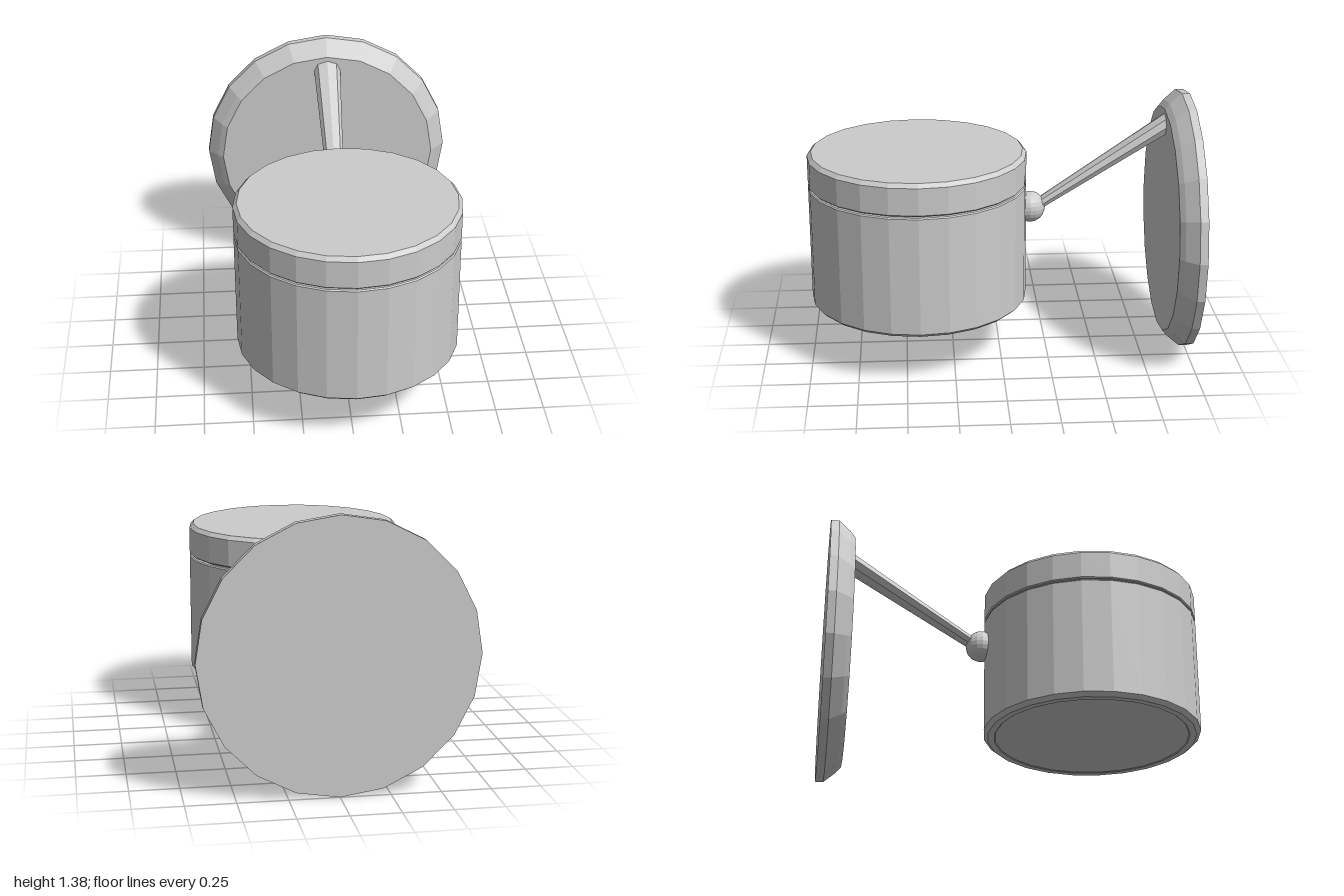
import * as THREE from 'three';

export function createModel() {
  const model = new THREE.Group();
  const grey = new THREE.MeshStandardMaterial({ color: 0xcccccc, flatShading: true });
  grey.name = 'light grey';

  const add = (name, geometry, x, y, z) => {
    const mesh = new THREE.Mesh(geometry, grey);
    mesh.name = name;
    mesh.position.set(x, y, z);
    model.add(mesh);
    return mesh;
  };
  // Turned solid from [radius, height] pairs, listed bottom to top
  const turned = (profile, sides) =>
    new THREE.LatheGeometry(profile.map(([r, h]) => new THREE.Vector2(r, h)), sides);

  // Round wall plate with a bevelled front rim
  const plate = add('wallPlate', turned([
    [0, 0], [0.6875, 0], [0.6875, 0.042], [0.635, 0.105], [0.605, 0.13], [0, 0.13],
  ], 20), 0, 0.6875, -1);
  plate.rotation.x = Math.PI / 2;

  // Lamp housing: body, recessed seam and cap
  const hx = 0.008, hz = 0.4275, R = 0.573;
  add('housingBody', turned([
    [0, 0.282], [0.51, 0.282], [0.515, 0.278], [0.55, 0.278], [R, 0.298],
    [R, 0.917], [0.567, 0.923], [0, 0.923],
  ], 24), hx, 0, hz);
  add('housingSeam', new THREE.CylinderGeometry(0.548, 0.548, 0.03, 24, 1, true), hx, 0.927, hz);
  add('housingCap', turned([
    [0, 0.931], [0.567, 0.931], [R, 0.937], [R, 1.078], [0.553, 1.099], [0, 1.099],
  ], 24), hx, 0, hz);

  // Ball joint behind the housing
  add('ballJoint', new THREE.SphereGeometry(0.082, 16, 12), 0.004, 0.77, -0.165);

  // Flattened arm that widens towards the wall plate
  const start = new THREE.Vector3(0, 0.768, -0.19);
  const end = new THREE.Vector3(0, 1.23, -0.9);
  const dir = end.clone().sub(start);
  const mid = start.clone().add(end).multiplyScalar(0.5);
  const arm = add('arm', new THREE.CylinderGeometry(0.075, 0.043, dir.length(), 8), mid.x, mid.y, mid.z);
  arm.scale.z = 0.65;
  arm.rotation.x = Math.atan2(dir.z, dir.y);

  return model;
}
